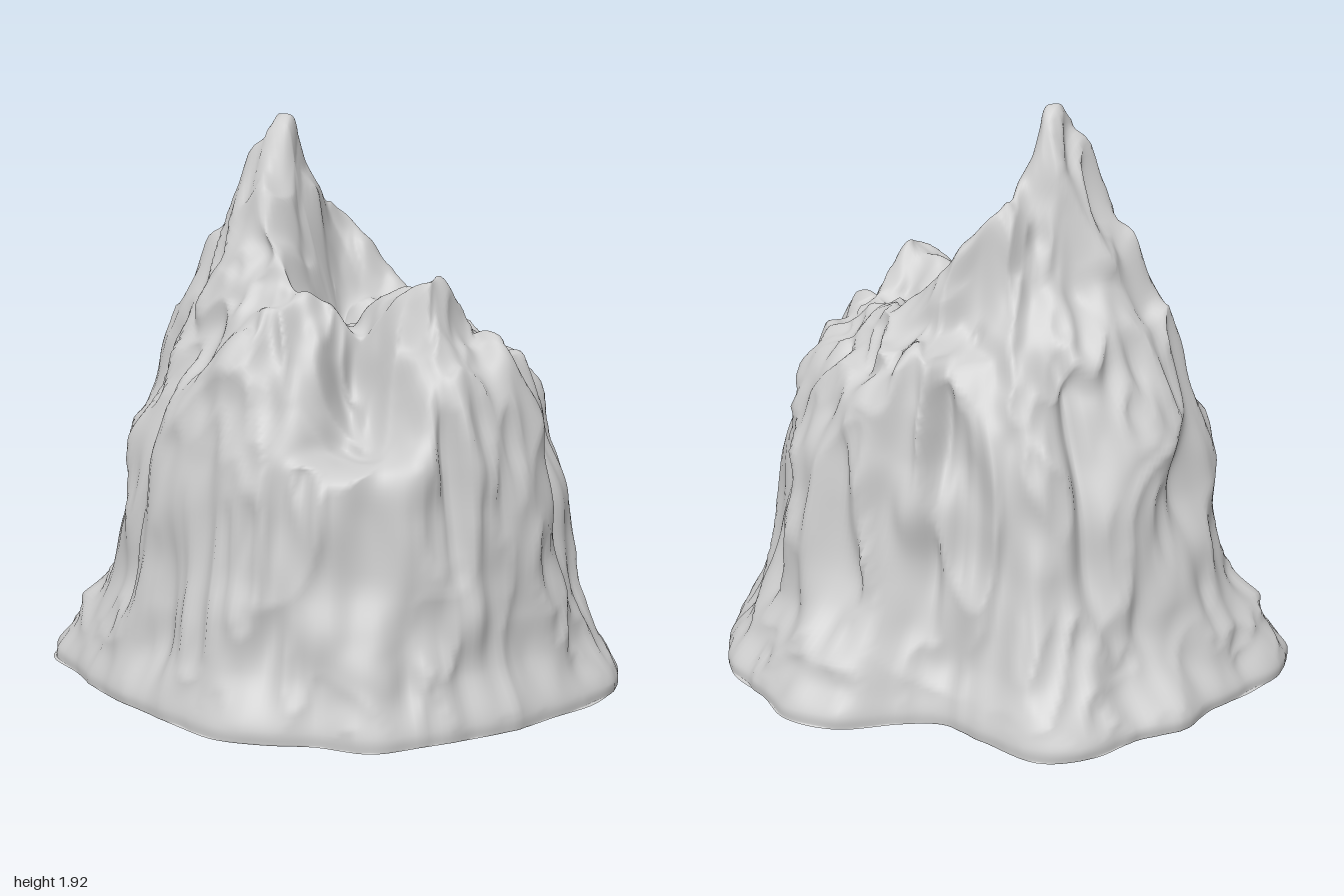
import * as THREE from 'three';

const SIDES = 256, STEPS = 140;
const material = new THREE.MeshStandardMaterial({ color: 0xcccccc, roughness: 0.9 });

// Ring tables: entries evenly spaced round the turn, from +x through +z (front)
const baseR = [
  0.98, 0.95, 0.89, 0.87, 0.85, 0.85, 0.87, 0.81, 0.82, 0.83, 0.8, 0.79, 0.81, 0.85, 0.9, 1.01,
  1.0, 0.94, 0.88, 0.89, 0.86, 0.9, 0.89, 0.76, 0.675, 0.72, 0.86, 0.93, 0.92, 0.97, 0.98, 0.99,
];
const wallR = [0.75, 0.76, 0.73, 0.67, 0.65, 0.64, 0.65, 0.67, 0.69, 0.65, 0.58, 0.57, 0.52, 0.57, 0.68, 0.72];
const shoulder = {
  r: [0.6, 0.61, 0.58, 0.46, 0.49, 0.53, 0.52, 0.56, 0.64, 0.57, 0.51, 0.5, 0.5, 0.55, 0.58, 0.6],
  y: [1.1, 1.1, 1.03, 0.85, 0.94, 1.06, 1.1, 1.12, 1.12, 1.13, 1.09, 1.07, 1.05, 1.05, 1.02, 1.07],
};
const upper = {
  r: [0.53, 0.51, 0.47, 0.36, 0.38, 0.41, 0.37, 0.4, 0.47, 0.41, 0.35, 0.35, 0.37, 0.4, 0.44, 0.5],
  y: [1.13, 1.19, 1.18, 0.98, 1.16, 1.28, 1.32, 1.42, 1.45, 1.45, 1.37, 1.31, 1.24, 1.2, 1.15, 1.14],
};
const rim = {
  r: [0.4, 0.4, 0.37, 0.27, 0.27, 0.29, 0.22, 0.2, 0.23, 0.23, 0.2, 0.25, 0.26, 0.29, 0.33, 0.4],
  y: [1.19, 1.31, 1.31, 1.17, 1.3, 1.34, 1.48, 1.7, 1.83, 1.85, 1.68, 1.56, 1.49, 1.37, 1.26, 1.22],
};
const inner = {
  r: [0.2, 0.22, 0.2, 0.15, 0.15, 0.15, 0.13, 0.12, 0.13, 0.14, 0.13, 0.13, 0.14, 0.16, 0.18, 0.2],
  y: [1.2, 1.3, 1.31, 1.22, 1.26, 1.28, 1.35, 1.48, 1.6, 1.64, 1.52, 1.4, 1.34, 1.3, 1.25, 1.22],
};

// Small spires: x, z, added height, radius
const spires = [
  [-0.44, 0.06, 0.08, 0.05], [-0.59, 0.02, 0.08, 0.06], [0.43, 0.25, 0.07, 0.07], [0.62, 0.2, 0.07, 0.06],
  [-0.03, -0.23, 0.06, 0.05], [-0.16, 0.01, 0.07, 0.06], [-0.29, 0.03, 0.09, 0.06], [-0.2, 0.52, 0.06, 0.07],
  [0.15, -0.42, 0.05, 0.07], [-0.35, -0.38, 0.06, 0.07],
];

// Long vertical gullies: angle, width, depth
const gullies = [[0.13, 0.06, 0.06], [0.78, 0.05, 0.04], [2.5, 0.06, 0.04], [4.0, 0.06, 0.04], [4.85, 0.07, 0.04]];

// Smooth value noise in -1..1
function hash(x, y, z) {
  const s = Math.sin(x * 127.1 + y * 311.7 + z * 74.7) * 43758.5453;
  return (s - Math.floor(s)) * 2 - 1;
}
function noise(x, y, z) {
  const [i, j, k] = [x, y, z].map(Math.floor);
  const [u, v, w] = [x - i, y - j, z - k].map((t) => t * t * (3 - 2 * t));
  const mix = THREE.MathUtils.lerp;
  const edge = (b, c) => mix(hash(i, j + b, k + c), hash(i + 1, j + b, k + c), u);
  return mix(mix(edge(0, 0), edge(1, 0), v), mix(edge(0, 1), edge(1, 1), v), w);
}
const ridge = (x, y, z) => 0.5 - Math.abs(noise(x, y, z)) * 1.6;

// Closed curve through one ring of the tables
function ring(r, y, cx = 0, cz = 0) {
  const points = r.map((radius, i) => {
    const a = (i / r.length) * Math.PI * 2;
    return new THREE.Vector3(cx + radius * Math.cos(a), Array.isArray(y) ? y[i] : y, cz + radius * Math.sin(a));
  });
  return new THREE.CatmullRomCurve3(points, true, 'catmullrom', 0.5);
}
const baseRing = ring(baseR, 0);
const wallRing = ring(wallR, 0.8);
const upperRings = [shoulder, upper, rim, inner].map(({ r, y }) => ring(r, y, 0.05, 0.05));

// Concave skirt: how far in towards the wall, and height
const skirt = [[0, 0], [0.01, 0.04], [0.41, 0.2], [0.74, 0.43]];

// Weather a surface point: vertical flutes, gullies, lumps and spires
function weather(p) {
  const { x, y, z } = p;
  const { smoothstep } = THREE.MathUtils;
  const a = Math.atan2(z, x);
  const amount = smoothstep(y, -0.15, 0.3);
  const centre = smoothstep(Math.hypot(x - 0.05, z - 0.05), 0.02, 0.25);
  const warp = noise(x * 3, y * 3, z * 3) * 0.5;
  const flutes = ridge(x * 5.5 + warp, y * 1.3, z * 5.5) * 0.045 + ridge(x * 12, y * 2.6 + warp, z * 12) * 0.024;
  const lumps = noise(x * 7, y * 6 + 9, z * 7) * 0.02;
  let push = (flutes + lumps) * amount * centre;
  const turn = a < 0 ? a + Math.PI * 2 : a;
  for (const [angle, width, depth] of gullies) {
    const reach = smoothstep(y, 0.2, 0.7) * (1 - smoothstep(y, 1.0, 1.2));
    push -= depth * reach * Math.exp(-(((turn - angle) / width) ** 2));
  }
  p.x += Math.cos(a) * push;
  p.z += Math.sin(a) * push;
  const top = smoothstep(y, 0.75, 1.1);
  p.y += top * (ridge(x * 8, y * 4, z * 8) * 0.035 + noise(x * 17, y * 9, z * 17) * 0.02);
  for (const [sx, sz, h, r] of spires) {
    p.y += top * h * Math.exp(-((x - sx) ** 2 + (z - sz) ** 2) / (r * r));
  }
  return p;
}

function rockGeometry() {
  const position = [], index = [];
  for (let i = 0; i < SIDES; i++) {
    const u = i / SIDES;
    const foot = baseRing.getPoint(u), wall = wallRing.getPoint(u);
    const points = skirt.map(([t, y]) => foot.clone().lerp(wall, t).setY(y));
    points.push(wall, ...upperRings.map((c) => c.getPoint(u)), new THREE.Vector3(0.04, 1.17, 0.05));
    const profile = new THREE.CatmullRomCurve3(points, false, 'centripetal');
    for (let j = 0; j <= STEPS; j++) {
      const p = profile.getPoint(j / STEPS);
      if (j > 0) weather(p);
      position.push(p.x, Math.max(p.y, 0), p.z);
    }
  }
  const row = STEPS + 1;
  for (let i = 0; i < SIDES; i++) {
    for (let j = 0; j < STEPS; j++) {
      const a = i * row + j, b = ((i + 1) % SIDES) * row + j;
      index.push(a, a + 1, b, b, a + 1, b + 1);
    }
  }
  const geometry = new THREE.BufferGeometry();
  geometry.setAttribute('position', new THREE.Float32BufferAttribute(position, 3));
  geometry.setIndex(index);
  geometry.computeVertexNormals();
  return geometry;
}

export function createModel() {
  const group = new THREE.Group();
  group.name = 'rockyMountain';

  const rock = new THREE.Mesh(rockGeometry(), material);
  rock.name = 'rockFace';
  group.add(rock);

  // Flat underside, facing down
  const outline = [];
  for (let i = 0; i < SIDES; i++) {
    const p = baseRing.getPoint(i / SIDES);
    outline.push(new THREE.Vector2(p.x, p.z));
  }
  const underside = new THREE.Mesh(new THREE.ShapeGeometry(new THREE.Shape(outline)).rotateX(Math.PI / 2), material);
  underside.name = 'underside';
  group.add(underside);
  return group;
}
